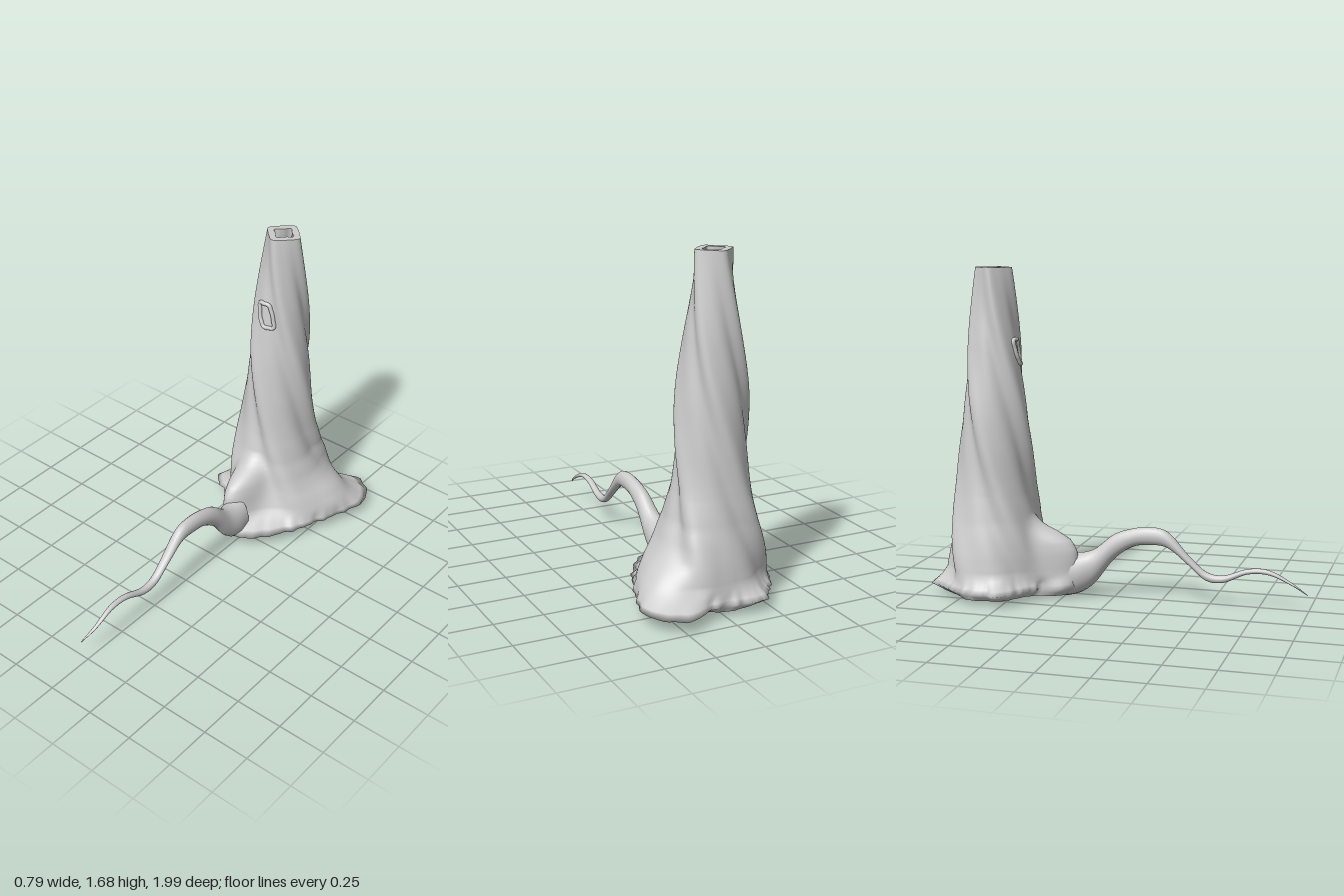
import * as THREE from 'three';

const CX = -0.065, CZ = -0.615, TOP = 1.68, SEG = 160;
const material = new THREE.MeshStandardMaterial({ color: 0xcccccc, side: THREE.DoubleSide });
const { lerp, smoothstep } = THREE.MathUtils;

// Smooth or straight lookup through [position, value] pairs
function lookup(pairs, Kind = THREE.CubicInterpolant) {
  const f = new Kind(pairs.map(p => p[0]), pairs.map(p => p[1]), 1);
  return t => f.evaluate(t)[0];
}
const straight = pairs => lookup(pairs, THREE.LinearInterpolant);

// Corner radius of the twisted shaft by height
const shaftRadius = lookup([[0, 0.265], [0.2, 0.265], [0.3, 0.252], [0.4, 0.235], [0.6, 0.206], [0.8, 0.191],
  [1.0, 0.176], [1.25, 0.146], [1.5, 0.116], [TOP, 0.097]]);

// Footprint of the spreading base, as x, z corners
const footprint = [[0.25, -1], [0.37, -0.9], [0.39, -0.8], [0.34, -0.65], [0.28, -0.5], [0.2, -0.32],
  [0.12, -0.2], [0.04, -0.14], [-0.05, -0.14], [-0.1, -0.18], [-0.16, -0.24], [-0.17, -0.35],
  [-0.28, -0.42], [-0.4, -0.5], [-0.37, -0.56], [-0.35, -0.7], [-0.26, -0.84], [-0.2, -0.93],
  [-0.1, -0.92], [0, -0.9], [0.1, -0.92]]
  .map(([x, z]) => [Math.atan2(x - CX, z - CZ), Math.hypot(x - CX, z - CZ)])
  .sort((a, b) => a[0] - b[0]);
const wrap = 2 * Math.PI, last = footprint[footprint.length - 1], first = footprint[0];
const footEdge = straight([[last[0] - wrap, last[1]], ...footprint, [first[0] + wrap, first[1]]]);

// Ragged at the ground, averaged into soft folds higher up
function footRadius(a, y) {
  const soft = smoothstep(y, 0.06, 0.14);
  let sum = 0;
  for (let k = -4; k <= 4; k++) {
    const b = a + k * 0.06 * soft;
    sum += footEdge(Math.atan2(Math.sin(b), Math.cos(b)));
  }
  return sum / 9 + (1 - soft) * (0.004 * Math.sin(23 * a) + 0.003 * Math.sin(37 * a));
}

// How far the base spreads by height: all round, along the left side, and at the front hump
const skirt = straight([[0.02, 0.35], [0.06, 1], [0.1, 0.52], [0.14, 0.27], [0.2, 0.19], [0.3, 0.12], [0.4, 0.04], [0.55, 0]]);
const sideSlope = straight([[0.02, 0.4], [0.06, 1], [0.1, 0.95], [0.14, 0.84], [0.2, 0.6], [0.25, 0.35], [0.3, 0.2], [0.4, 0.05], [0.55, 0]]);
const hump = straight([[0.02, 0.75], [0.06, 1], [0.2, 1], [0.25, 0.97], [0.3, 0.82], [0.34, 0.52], [0.37, 0.22], [0.42, 0.04], [0.55, 0]]);
const bell = (a, centre, width) => Math.exp(-(((a - centre) / width) ** 2));

// Radius of the outer wall: four twisted ridges, each steeper on its trailing side
function wallRadius(a, y) {
  const phase = 4 * (a - (TOP - y) * Math.PI / 1.76);
  const lean = 0.6 * smoothstep(TOP - y, 0, 0.4);
  const ridge = Math.cos(phase + 0.5 * Math.sin(phase) - lean * (1 - Math.cos(phase)));
  const shaft = shaftRadius(y) * (1 - 0.095 * (1 - ridge));
  let spread = lerp(skirt(y), sideSlope(y), bell(a, 1.55, 0.8));
  spread = lerp(spread, hump(y), bell(a, -0.07, 0.3));
  return shaft + (footRadius(a, y) - shaft) * spread;
}

function innerRadius(a, y) {
  return wallRadius(a, y) - lerp(0.02, 0.037, smoothstep(y, 0.02, 0.4));
}

const wallPoint = (a, y, r) => [CX + Math.sin(a) * r, y, CZ + Math.cos(a) * r];

// Surface through closed rings of equal point count
function skin(name, rings) {
  const n = rings[0].length, index = [];
  for (let i = 0; i < rings.length - 1; i++) {
    for (let j = 0; j < n; j++) {
      const a = i * n + j, b = i * n + (j + 1) % n;
      index.push(a, b, b + n, a, b + n, a + n);
    }
  }
  const g = new THREE.BufferGeometry();
  g.setAttribute('position', new THREE.Float32BufferAttribute(rings.flat(2), 3));
  g.setIndex(index);
  g.computeVertexNormals();
  const mesh = new THREE.Mesh(g, material);
  mesh.name = name;
  return mesh;
}

function wallRing(y, radius) {
  return Array.from({ length: SEG }, (_, j) => {
    const a = -Math.PI + j / SEG * wrap;
    return wallPoint(a, y, radius(a, y));
  });
}

// Tapering tendril: [z, top y, bottom y, half width, x]
function tendril() {
  const keys = [[-0.24, 0.24, 0.0, 0.08, -0.045], [-0.17, 0.23, 0.02, 0.075, -0.035],
    [-0.1, 0.25, 0.07, 0.057, -0.025], [0, 0.33, 0.2, 0.043, -0.017], [0.1, 0.367, 0.272, 0.038, -0.015],
    [0.2, 0.38, 0.288, 0.034, -0.015], [0.28, 0.362, 0.28, 0.031, -0.016], [0.4, 0.238, 0.192, 0.025, -0.018],
    [0.48, 0.17, 0.126, 0.022, -0.018], [0.56, 0.155, 0.117, 0.02, -0.018], [0.7, 0.2, 0.173, 0.017, -0.02],
    [0.8, 0.2, 0.175, 0.014, -0.02], [0.92, 0.142, 0.129, 0.009, -0.022], [1, 0.092, 0.088, 0.002, -0.04]];
  const [top, bottom, half, mid] = [1, 2, 3, 4].map(k => lookup(keys.map(p => [p[0], p[k]])));
  const rings = [];
  for (let i = 0; i <= 72; i++) {
    const z = -0.24 + 1.24 * i / 72;
    const cy = (top(z) + bottom(z)) / 2, ry = (top(z) - bottom(z)) / 2;
    rings.push(Array.from({ length: 16 }, (_, j) => {
      const a = j / 16 * wrap;
      return [mid(z) + Math.cos(a) * half(z), Math.max(0, cy + Math.sin(a) * ry), z];
    }));
  }
  return skin('tendril', rings);
}

// Slanted frame lying on the front wall
function windowFrame() {
  const corners = [[-0.115, 1.32], [-0.057, 1.32], [-0.036, 1.27], [-0.02, 1.195], [-0.075, 1.195], [-0.1, 1.24]];
  const points = [];
  corners.forEach(([x, y], i) => {
    const [nx, ny] = corners[(i + 1) % corners.length];
    for (const t of [0.15, 0.5, 0.85]) {
      const px = x + (nx - x) * t, py = y + (ny - y) * t;
      let a = 0;
      for (let k = 0; k < 4; k++) a = Math.asin((px - CX) / wallRadius(a, py));
      points.push(new THREE.Vector3(...wallPoint(a, py, wallRadius(a, py) + 0.004)));
    }
  });
  const path = new THREE.CatmullRomCurve3(points, true);
  const mesh = new THREE.Mesh(new THREE.TubeGeometry(path, 72, 0.011, 8, true), material);
  mesh.name = 'windowFrame';
  return mesh;
}

export function createModel() {
  const group = new THREE.Group();
  group.name = 'twistedTower';

  // Heights are closer together in the spreading base
  const heights = [0.02, 0.04, 0.06, 0.08];
  for (let y = 0.1; y < 0.56; y += 0.02) heights.push(y);
  for (let i = 0; i <= 44; i++) heights.push(0.58 + (TOP - 0.58) * i / 44);

  const outer = heights.map(y => wallRing(y, wallRadius));
  const inner = heights.map(y => wallRing(y, innerRadius)).reverse();
  group.add(skin('outerWall', outer));
  group.add(skin('topRim', [outer[outer.length - 1], inner[0]]));
  group.add(skin('innerWall', inner));
  group.add(skin('bottomRim', [inner[inner.length - 1], outer[0]]));
  group.add(windowFrame());
  group.add(tendril());
  return group;
}
